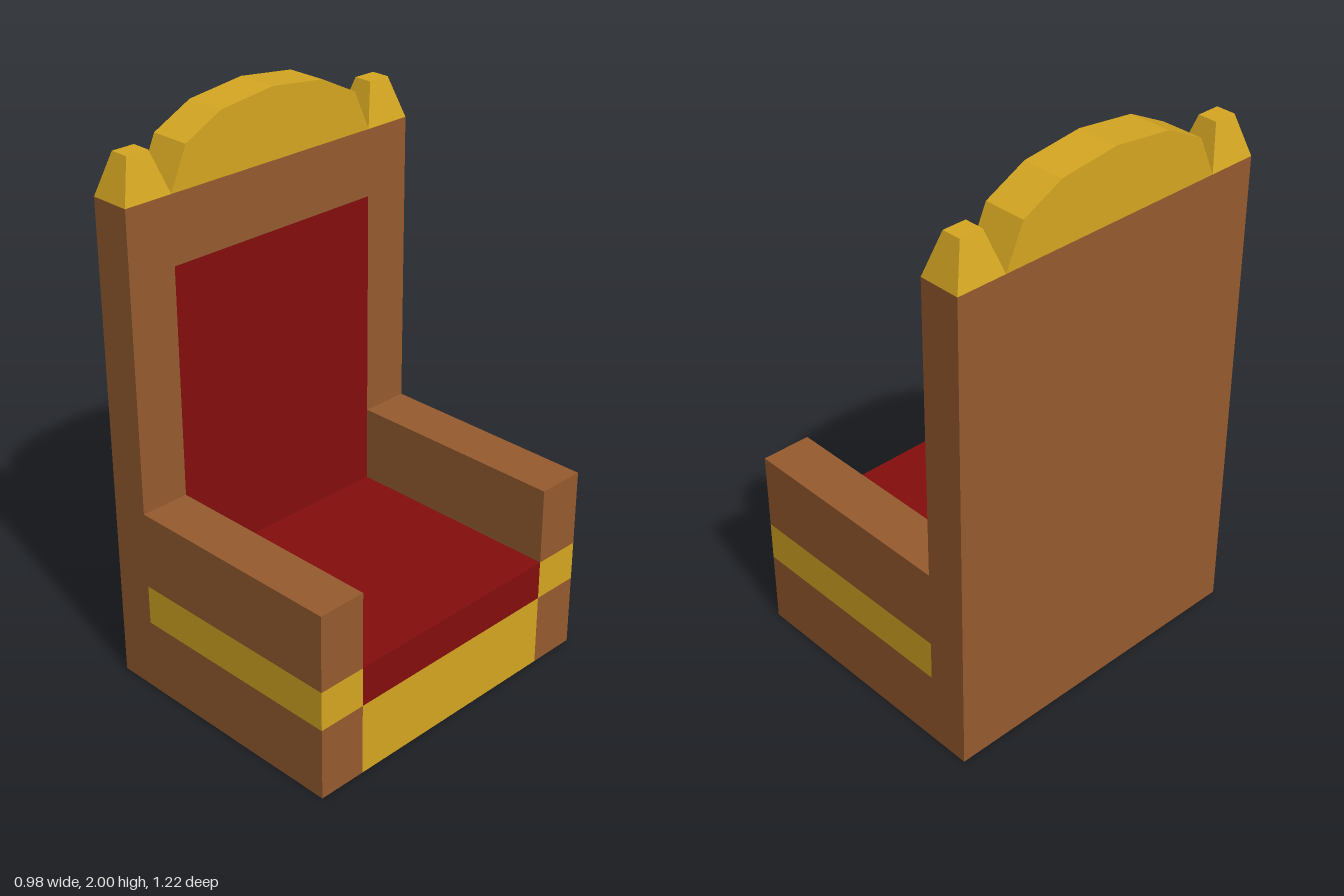
import * as THREE from 'three';

export function createModel() {
  const model = new THREE.Group();
  model.name = 'throne';

  const material = (name, color) => {
    const m = new THREE.MeshStandardMaterial({ color });
    m.name = name;
    return m;
  };
  const wood = material('brown wood', 0x965b2f);
  const gold = material('gold trim', 0xd6a722);
  const red = material('red upholstery', 0x840d0d);

  const add = (name, geometry, mat) => {
    const mesh = new THREE.Mesh(geometry, mat);
    mesh.name = name;
    model.add(mesh);
    return mesh;
  };
  // Box given by its lower and upper limits on each axis
  const box = (name, mat, [x0, x1], [y0, y1], [z0, z1]) =>
    add(name, new THREE.BoxGeometry(x1 - x0, y1 - y0, z1 - z0), mat)
      .position.set((x0 + x1) / 2, (y0 + y1) / 2, (z0 + z1) / 2);

  // The throne faces +x
  const BACK = -0.49, REST = -0.34, FRONT = 0.49;
  const INNER = 0.43, OUTER = 0.61;
  const TRIM = 0.265, SEAT = 0.41, ARM = 0.69, PANEL = 1.515, TOP = 1.755;
  const PLATE = 0.008;

  // Backrest: slab, with a flush frame around the red panel
  box('backrest', wood, [BACK, REST - PLATE], [0, TOP], [-OUTER, OUTER]);
  box('backrestTopRail', wood, [REST - PLATE, REST], [PANEL, TOP], [-INNER, INNER]);
  box('backrestPanel', red, [REST - PLATE, REST], [SEAT, PANEL], [-INNER, INNER]);

  // Seat: wooden base, gold front plate and red cushion
  box('seatBase', wood, [REST, FRONT - PLATE], [0, TRIM], [-INNER, INNER]);
  box('seatFrontPlate', gold, [FRONT - PLATE, FRONT], [0, TRIM], [-INNER, INNER]);
  box('seatCushion', red, [REST, FRONT], [TRIM, SEAT], [-INNER, INNER]);

  // Finial: a box with its top narrowed
  const finialGeometry = new THREE.BoxGeometry(REST - BACK, 0.145, OUTER - INNER);
  const p = finialGeometry.attributes.position;
  for (let i = 0; i < p.count; i++) {
    if (p.getY(i) > 0) {
      p.setX(i, p.getX(i) * 0.46);
      p.setZ(i, p.getZ(i) * 0.47);
    }
  }
  finialGeometry.computeVertexNormals();

  // Posts, arms with gold bands, and finials on both sides
  for (const side of [-1, 1]) {
    const z = side > 0 ? [INNER, OUTER] : [-OUTER, -INNER];
    box('backrestPost', wood, [REST - PLATE, REST], [0, TOP], z);
    box('armBase', wood, [REST, FRONT], [0, TRIM], z);
    box('armBand', gold, [REST, FRONT], [TRIM, SEAT], z);
    box('armRest', wood, [REST, FRONT], [SEAT, ARM], z);
    add('finial', finialGeometry, gold)
      .position.set((BACK + REST) / 2, TOP + 0.0725, side * (INNER + OUTER) / 2);
  }

  // Faceted crest, extruded through the thickness of the backrest
  const crestShape = new THREE.Shape([
    [-INNER, TOP], [INNER, TOP], [0.365, 1.9], [0.217, 1.974],
    [0, 2], [-0.217, 1.974], [-0.365, 1.9],
  ].map(([x, y]) => new THREE.Vector2(x, y)));
  const crest = add('crest', new THREE.ExtrudeGeometry(crestShape, {
    depth: REST - BACK, bevelEnabled: false,
  }), gold);
  crest.rotation.y = Math.PI / 2;
  crest.position.x = BACK;

  return model;
}
